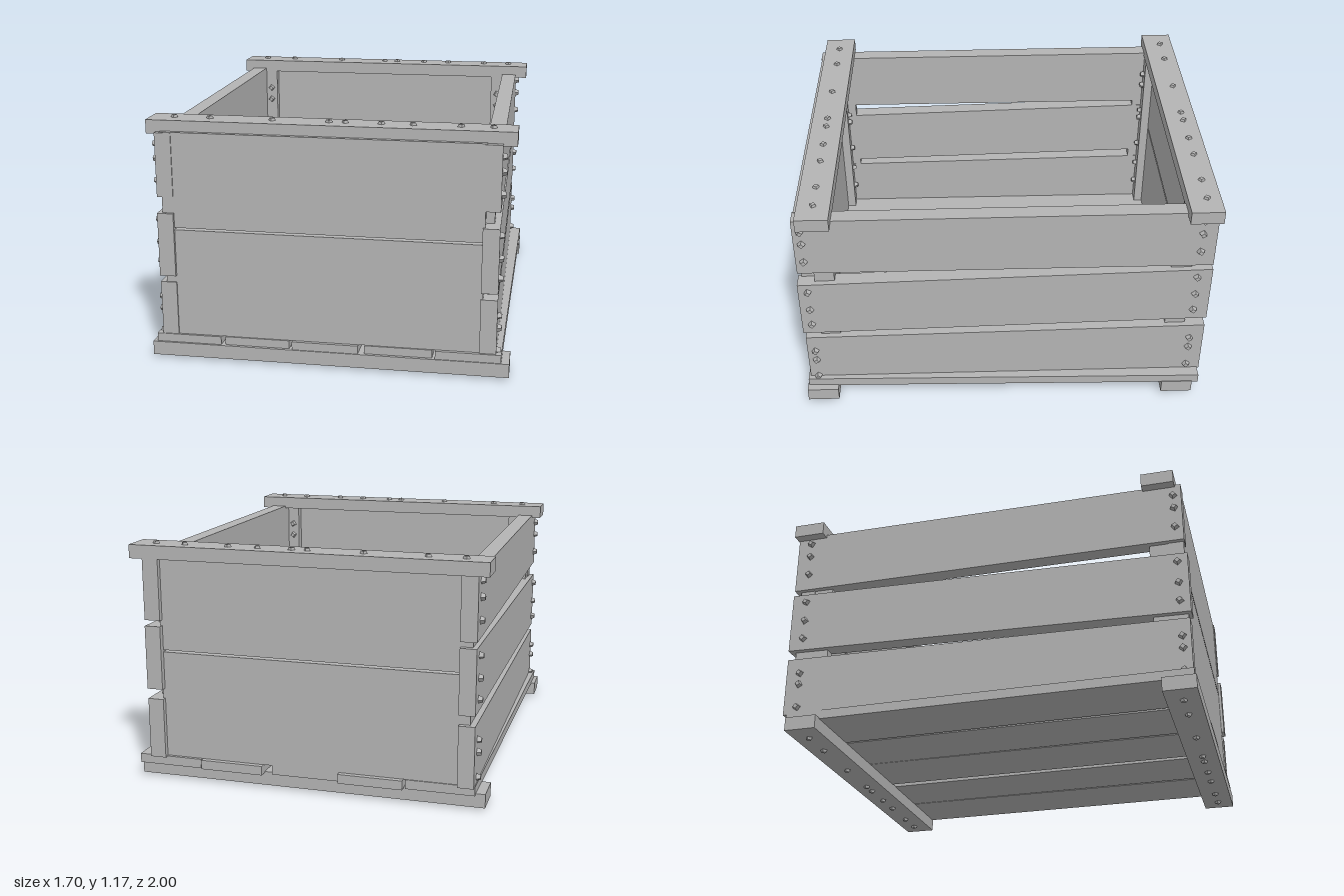
import * as THREE from 'three';

export function createModel() {
  const model = new THREE.Group();
  model.name = 'woodenCrate';
  const wood = new THREE.MeshStandardMaterial({ color: 0xb4b4b4 });
  wood.name = 'plain grey wood';

  // Board whose back and front ends are separate rectangles [x0, x1, y0, y1]
  function board(name, zBack, zFront, back, front = back) {
    const geo = new THREE.BoxGeometry(1, 1, 1);
    const p = geo.attributes.position;
    for (let i = 0; i < p.count; i++) {
      const end = p.getZ(i) > 0 ? front : back;
      p.setXYZ(i,
        p.getX(i) > 0 ? end[1] : end[0],
        p.getY(i) > 0 ? end[3] : end[2],
        p.getZ(i) > 0 ? zFront : zBack);
    }
    geo.computeVertexNormals();
    const mesh = new THREE.Mesh(geo, wood);
    mesh.name = name;
    model.add(mesh);
  }

  // Square nail head with a bevelled face, pointing along a direction
  const nailGeo = new THREE.CylinderGeometry(0.013, 0.021, 0.024, 4).toNonIndexed();
  nailGeo.computeVertexNormals();
  const up = new THREE.Vector3(0, 1, 0);
  let count = 0;
  function nail(x, y, z, dx, dy, dz) {
    const mesh = new THREE.Mesh(nailGeo, wood);
    mesh.name = 'nail';
    mesh.position.set(x, y, z);
    mesh.quaternion.setFromUnitVectors(up, new THREE.Vector3(dx, dy, dz));
    mesh.rotateY(0.25 * Math.sin(count++ * 2.3));
    model.add(mesh);
  }

  // Runners under the floor and rails across the top
  board('frontRunner', 0.845, 1.0, [-0.85, 0.85, 0.013, 0.08]);
  board('backRunner', -0.955, -0.8, [-0.85, 0.85, 0.013, 0.08]);
  board('frontRail', 0.8, 0.955, [-0.85, 0.85, 1.093, 1.158]);
  board('backRail', -1.0, -0.845, [-0.85, 0.85, 1.093, 1.158]);
  for (const x of [-0.735, -0.565, -0.27, -0.005, 0.07, 0.235, 0.38, 0.595, 0.74]) {
    nail(x, 1.158, 0.878, 0, 1, 0);
    nail(x, 1.158, -0.933, 0, 1, 0);
    nail(x, 0.012, 0.925, 0, -1, 0);
    nail(x, 0.012, -0.878, 0, -1, 0);
  }

  // Floor planks, slightly skewed: back x0, x1, front x0, x1, back z, front z
  for (const [a, b, c, d, zb, zf] of [
    [-0.805, -0.48, -0.83, -0.515, -0.975, 0.99],
    [-0.47, -0.16, -0.495, -0.185, -0.995, 0.985],
    [-0.158, 0.172, -0.17, 0.145, -0.97, 0.995],
    [0.215, 0.525, 0.175, 0.493, -0.995, 0.985],
    [0.53, 0.848, 0.507, 0.812, -0.985, 0.995],
  ]) board('floorPlank', zb, zf, [a, b, 0.075, 0.12], [c, d, 0.075, 0.12]);

  // Front and back walls, two boards each with a thin slit between
  for (const [name, z0, z1] of [['front', 0.905, 0.978], ['back', -0.97, -0.895]]) {
    board(name + 'LowerBoard', z0, z1, [-0.775, 0.72, 0.12, 0.641]);
    board(name + 'UpperBoard', z0, z1, [-0.78, 0.72, 0.651, 1.107]);
  }

  // Side walls: three boards rising a little towards the back
  const frontNails = [1.045, 0.975, 0.87, 0.68, 0.57, 0.475, 0.295, 0.235, 0.125];
  const backNails = [1.065, 0.99, 0.885, 0.725, 0.62, 0.52, 0.33, 0.27, 0.15];
  for (const [side, x0, x1, s] of [['left', 0.71, 0.788, 1], ['right', -0.802, -0.725, -1]]) {
    board(side + 'LowerBoard', -0.995, 0.985, [x0, x1, 0.115, 0.41], [x0, x1, 0.115, 0.382]);
    board(side + 'MiddleBoard', -0.998, 0.993, [x0, x1, 0.46, 0.77], [x0, x1, 0.415, 0.722]);
    board(side + 'UpperBoard', -0.995, 0.983, [x0, x1, 0.798, 1.11], [x0, x1, 0.798, 1.104]);
    const outer = s > 0 ? x1 : x0, inner = s > 0 ? x0 : x1;
    frontNails.forEach(y => nail(outer + s * 0.008, y, 0.945, s, 0, 0));
    backNails.forEach(y => nail(outer + s * 0.008, y, -0.925, s, 0, 0));

    // Corner posts: a strip in the side wall and a nailed cleat inside
    for (const [end, z0, z1, cz0, cz1, dir] of [
      ['front', 0.815, 0.91, 0.86, 0.91, -1],
      ['back', -0.9, -0.8, -0.9, -0.85, 1],
    ]) {
      const a = inner + s * 0.002, b = inner + s * 0.05, c = inner - s * 0.065;
      board(end + 'CornerPost', z0, z1, [Math.min(a, b), Math.max(a, b), 0.12, 1.1]);
      board(end + 'CornerCleat', cz0, cz1, [Math.min(a, c), Math.max(a, c), 0.12, 1.095]);
      for (const y of [0.99, 0.92, 0.75, 0.7, 0.52, 0.38, 0.25])
        nail(inner - s * 0.03, y, dir > 0 ? cz1 + 0.008 : cz0 - 0.008, 0, 0, dir);
    }
  }
  return model;
}
